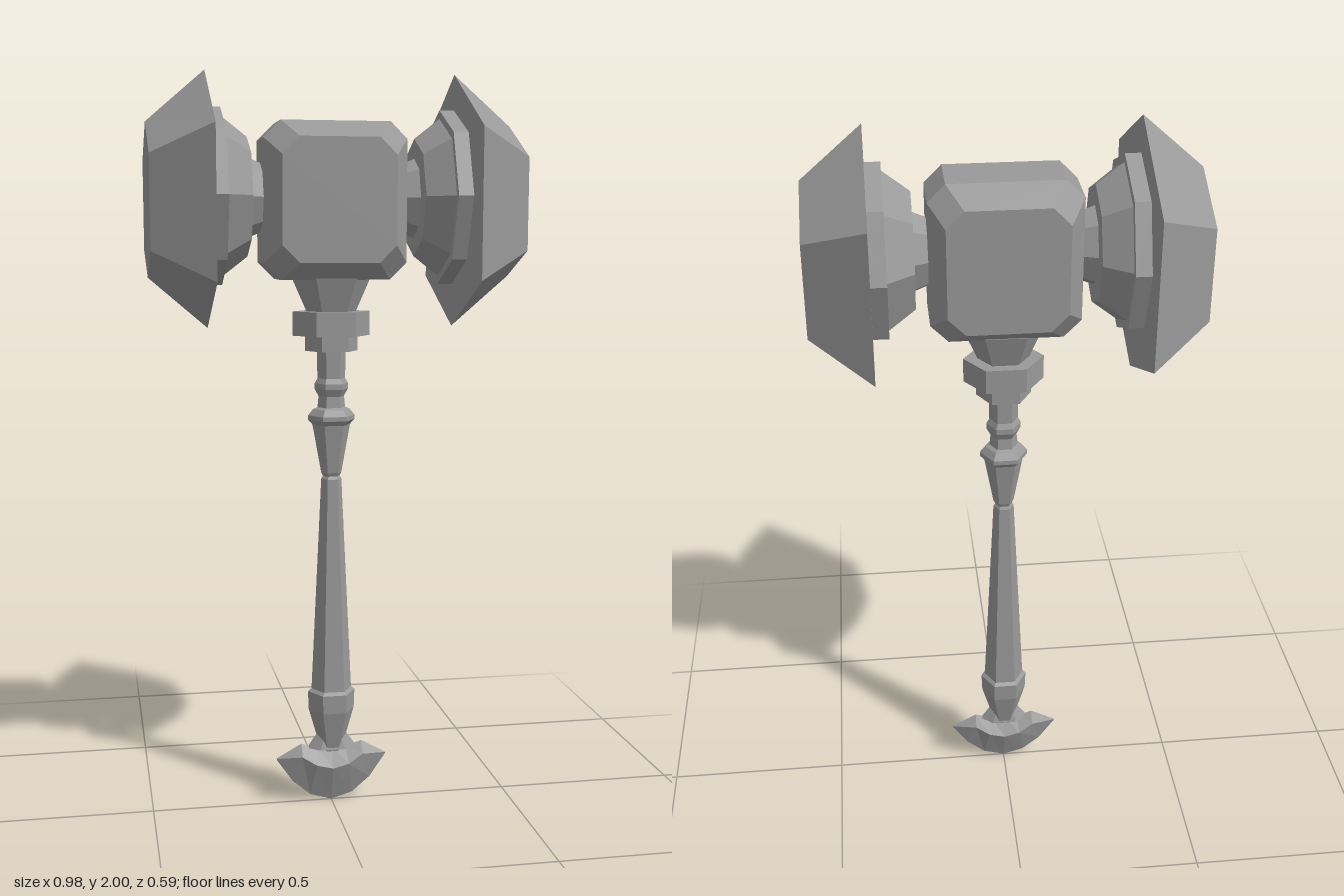
import * as THREE from 'three';

const material = new THREE.MeshStandardMaterial({ color: 0x999999, flatShading: true });

function add(parent, name, geometry) {
  const mesh = new THREE.Mesh(geometry, material);
  mesh.name = name;
  parent.add(mesh);
  return mesh;
}

// Faceted turned solid around y with a corner on the x axis; profile is [radius, height], bottom to top
function turned(profile, sides, depth = 1) {
  const pts = [[0, profile[0][1]], ...profile, [0, profile[profile.length - 1][1]]];
  const g = new THREE.LatheGeometry(pts.map(([r, y]) => new THREE.Vector2(r, y)), sides);
  g.rotateY(Math.PI / 2);
  return g.scale(1, 1, depth);
}

// Skin over equal-length loops, each counter-clockwise seen from the end of the axis, with flat end caps
function loft(sections) {
  const out = [];
  const n = sections[0].length;
  const tri = (...corners) => corners.forEach((p) => out.push(...p));
  for (let i = 0; i < sections.length - 1; i++) {
    const s = sections[i], t = sections[i + 1];
    for (let j = 0; j < n; j++) {
      const k = (j + 1) % n;
      tri(s[j], s[k], t[k]);
      tri(s[j], t[k], t[j]);
    }
  }
  const first = sections[0], last = sections[sections.length - 1];
  for (let j = 1; j < n - 1; j++) {
    tri(first[0], first[j + 1], first[j]);
    tri(last[0], last[j], last[j + 1]);
  }
  const g = new THREE.BufferGeometry();
  g.setAttribute('position', new THREE.Float32BufferAttribute(out, 3));
  g.computeVertexNormals();
  return g;
}

// Rectangle with cut corners at depth z
function cutRect(w, h, c, z) {
  return [
    [w, -h + c, z], [w, h - c, z], [w - c, h, z], [-w + c, h, z],
    [-w, h - c, z], [-w, -h + c, z], [-w + c, -h, z], [w - c, -h, z],
  ];
}

// Pointed hexagon at x, with its side corners at heights up and low
function hexagon(x, r, w, up, low) {
  return [[x, r, 0], [x, up, w], [x, low, w], [x, -r, 0], [x, low, -w], [x, up, -w]];
}

export function createModel() {
  const model = new THREE.Group();
  model.name = 'warHammer';

  // Central block of the head, bevelled on every edge
  add(model, 'headBlock', loft([
    cutRect(0.15, 0.16, 0.045, -0.135),
    cutRect(0.19, 0.205, 0.045, -0.07),
    cutRect(0.19, 0.205, 0.045, 0.07),
    cutRect(0.15, 0.16, 0.045, 0.135),
  ])).position.y = 1.666;

  // Striking ends: neck, stepped collar and hexagonal face, mirrored
  for (const side of [1, -1]) {
    const end = new THREE.Group();
    end.name = side > 0 ? 'leftEnd' : 'rightEnd';
    const neck = turned([[0.085, 0.17], [0.09, 0.19], [0.107, 0.23]], 8, 0.8);
    const collar = turned([[0.155, 0.225], [0.208, 0.293], [0.23, 0.293], [0.23, 0.34]], 8, 0.92);
    add(end, 'endNeck', neck.rotateZ(-Math.PI / 2)).position.y = 1.675;
    add(end, 'endCollar', collar.rotateZ(-Math.PI / 2)).position.y = 1.677;
    add(end, 'strikingFace', loft([
      hexagon(0.333, 0.333, 0.294, 0.178, -0.205),
      hexagon(0.488, 0.2, 0.179, 0.11, -0.13),
    ])).position.y = 1.667;
    if (side < 0) end.rotation.y = Math.PI;
    model.add(end);
  }

  // Socket below the head
  add(model, 'socketFlare', turned([[0.065, 1.37], [0.107, 1.465]], 6, 0.85));
  add(model, 'socketRing', turned([[0.105, 1.311], [0.105, 1.376]], 6, 0.84));
  add(model, 'socketBase', turned([[0.072, 1.27], [0.072, 1.316]], 6));

  // Handle with its turned rings
  add(model, 'handle', turned([
    [0.03, 0.15], [0.064, 0.268], [0.066, 0.32], [0.056, 0.328],
    [0.028, 0.92], [0.023, 0.928], [0.028, 0.938], [0.052, 1.07], [0.064, 1.083],
    [0.064, 1.095], [0.05, 1.112], [0.038, 1.117], [0.035, 1.147],
    [0.046, 1.167], [0.046, 1.182], [0.038, 1.196], [0.04, 1.28],
  ], 6));

  // Crescent pommel: bottom edge, ridge and top edge at each station
  add(model, 'pommelCollar', turned([[0.07, 0.155], [0.035, 0.205]], 6, 0.5));
  const half = [
    [0.155, 0.125, 0.155, 0.128, 0.001, 0.154, 0.13],
    [0.11, 0.06, 0.085, 0.136, 0.024, 0.085, 0.168],
    [0.06, 0.018, 0.045, 0.113, 0.034, 0.04, 0.153],
  ];
  const station = ([bx, by, rx, ry, rz, tx, ty], m) => [
    [m * bx, by, 0], [m * rx, ry, -rz], [m * tx, ty, 0], [m * rx, ry, rz],
  ];
  add(model, 'pommel', loft([
    ...half.map((s) => station(s, -1)),
    station([0, 0, 0, 0.103, 0.037, 0, 0.153], 1),
    ...half.map((s) => station(s, 1)).reverse(),
  ]));

  return model;
}
